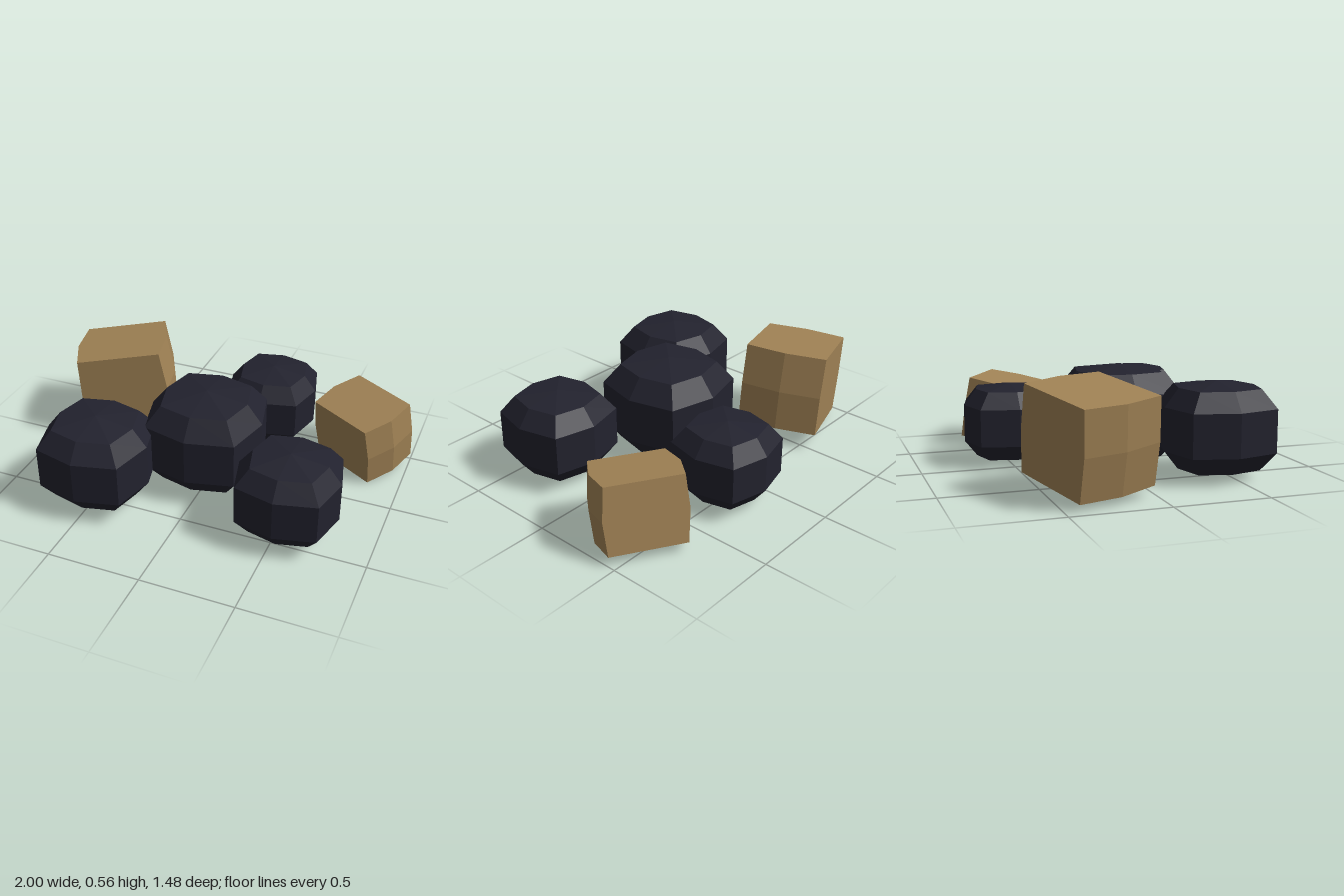
import * as THREE from 'three';

const bagPlastic = new THREE.MeshStandardMaterial({ color: 0x22222e });
bagPlastic.name = 'dark bag plastic';
const cardboard = new THREE.MeshStandardMaterial({ color: 0xa08255 });
cardboard.name = 'brown cardboard';

// Gives every face its own flat normals
function faceted(geometry) {
  const flat = geometry.toNonIndexed();
  flat.computeVertexNormals();
  return flat;
}

// Plump, slightly squared eight-sided bag resting near the ground
function makeBag(name, x, z, radius) {
  const geometry = new THREE.SphereGeometry(1, 8, 5);
  const p = geometry.attributes.position;
  const puff = (v) => (Math.abs(v) < 1e-6 ? 0 : Math.sign(v) * Math.abs(v) ** 0.64);
  const height = radius * 0.807;
  for (let i = 0; i < p.count; i++) {
    p.setXYZ(i, puff(p.getX(i)) * radius, puff(p.getY(i)) * height, puff(p.getZ(i)) * radius);
  }
  const bag = new THREE.Mesh(faceted(geometry), bagPlastic);
  bag.name = name;
  bag.position.set(x, 0.022 + height, z);
  return bag;
}

// Tilted carton whose two end faces bulge outwards
function makeCarton(name, size, position, xDir, zDir) {
  const [w, h, d] = size;
  const geometry = new THREE.BoxGeometry(w, h, d, 2, 2, 2);
  const p = geometry.attributes.position;
  for (let i = 0; i < p.count; i++) {
    const x = p.getX(i);
    const midY = Math.abs(p.getY(i)) < 1e-6 ? 1 : 0;
    const midZ = Math.abs(p.getZ(i)) < 1e-6 ? 1 : 0;
    if (Math.abs(x) > 1e-6) p.setX(i, x + Math.sign(x) * (0.015 * midY + 0.028 * midZ));
  }
  const xAxis = new THREE.Vector3(...xDir).normalize();
  const yAxis = new THREE.Vector3(...zDir).cross(xAxis).normalize();
  const zAxis = xAxis.clone().cross(yAxis);
  const carton = new THREE.Mesh(faceted(geometry), cardboard);
  carton.name = name;
  carton.quaternion.setFromRotationMatrix(new THREE.Matrix4().makeBasis(xAxis, yAxis, zAxis));
  carton.position.set(...position);
  return carton;
}

export function createModel() {
  const model = new THREE.Group();
  model.name = 'rubbishPile';
  model.add(
    makeBag('centreBag', -0.024, 0.072, 0.326),
    makeBag('frontRightBag', -0.492, 0.447, 0.297),
    makeBag('frontLeftBag', 0.54, 0.353, 0.279),
    makeBag('backBag', 0.163, -0.489, 0.26),
    makeCarton('largeCarton', [0.468, 0.447, 0.448], [-0.678, 0.3, -0.297],
      [0.435, 0.063, -0.16], [0.155, 0.019, 0.42]),
    makeCarton('smallCarton', [0.394, 0.355, 0.337], [0.731, 0.209, -0.4],
      [0.337, 0, 0.205], [-0.165, -0.056, 0.288]),
  );
  return model;
}
